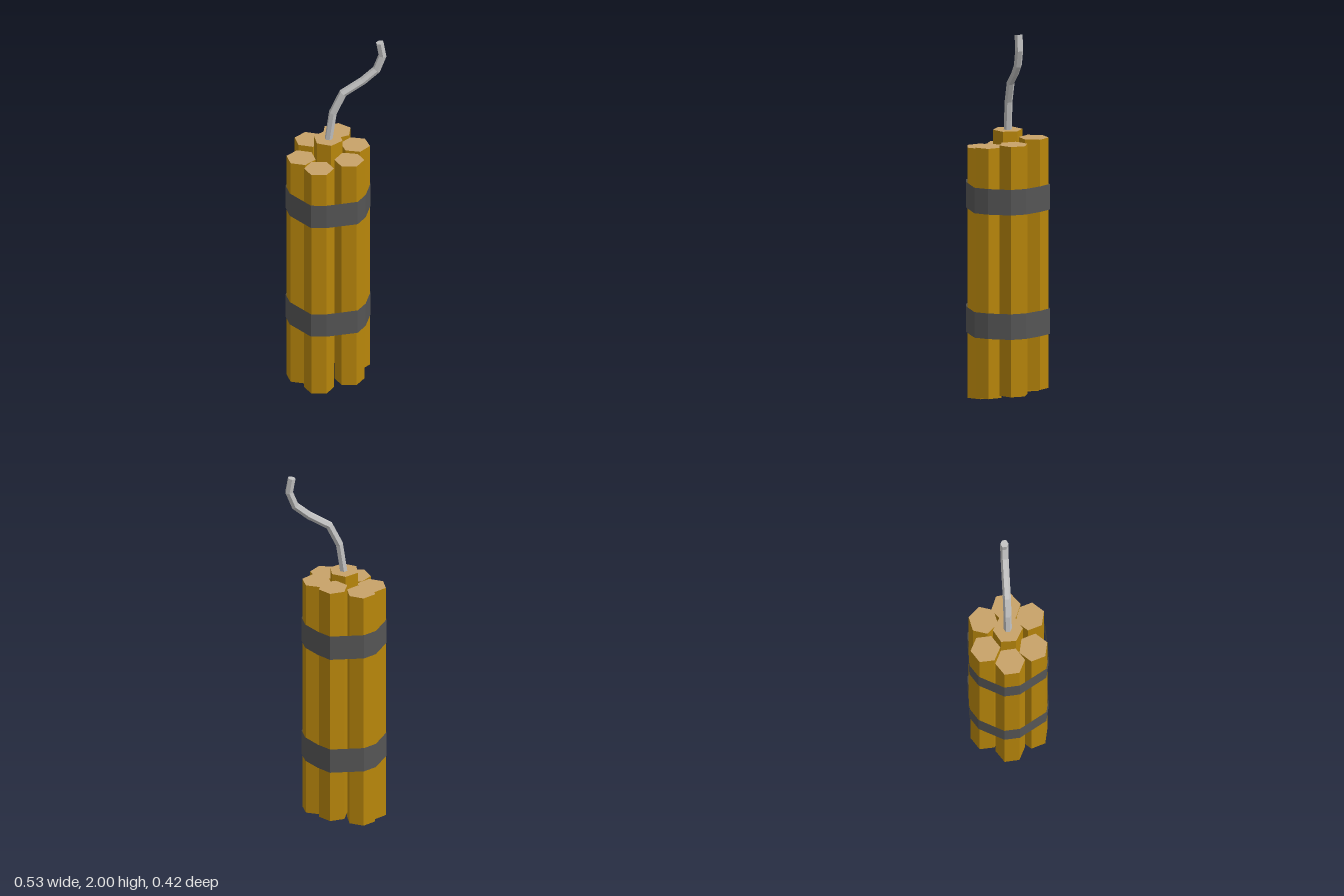
import * as THREE from 'three';

const mat = (name, color, side = THREE.FrontSide) => {
  const m = new THREE.MeshStandardMaterial({ color, flatShading: true, side });
  m.name = name;
  return m;
};

// Six-sided tube through points in the XY plane, with mitred joints
function hexTube(points, radius) {
  const last = points.length - 1;
  const geo = new THREE.CylinderGeometry(1, 1, last, 6, last);
  const pos = geo.attributes.position;
  for (let i = 0; i < pos.count; i++) {
    const k = Math.round(pos.getY(i) + last / 2);
    const p = points[k];
    const dirIn = k > 0 ? p.clone().sub(points[k - 1]).normalize() : null;
    const dirOut = k < last ? points[k + 1].clone().sub(p).normalize() : null;
    const t = new THREE.Vector2();
    if (dirIn) t.add(dirIn);
    if (dirOut) t.add(dirOut);
    t.normalize();
    const across = pos.getX(i) * radius / t.dot(dirIn || dirOut);
    pos.setXYZ(i, p.x + t.y * across, p.y - t.x * across, pos.getZ(i) * radius - 0.003);
  }
  geo.computeVertexNormals();
  return geo;
}

// Open strip that follows a closed outline of [x, z] points
function strap(outline, height) {
  const n = outline.length;
  const geo = new THREE.CylinderGeometry(1, 1, height, n, 1, true);
  const pos = geo.attributes.position;
  for (let i = 0; i < pos.count; i++) {
    const [x, z] = outline[(i % (n + 1)) % n];
    pos.setX(i, x);
    pos.setZ(i, z);
  }
  geo.computeVertexNormals();
  return geo;
}

export function createModel() {
  const group = new THREE.Group();
  const wrapper = mat('golden wrapper', 0xb8860b);
  const ends = mat('tan ends', 0xc8a269);
  const tape = mat('dark grey tape', 0x555555, THREE.DoubleSide);
  const cord = mat('light grey cord', 0xc0c0c0);

  const add = (name, geo, material) => {
    const mesh = new THREE.Mesh(geo, material);
    mesh.name = name;
    group.add(mesh);
    return mesh;
  };

  // Hexagonal sticks: name, x, z, turn, bottom height
  const length = 1.34;
  const stickGeo = new THREE.CylinderGeometry(0.079, 0.079, length, 6);
  const sticks = [
    ['centreStick', -0.043, -0.003, 0, 0.1],
    ['backRightStick', -0.121, -0.126, 0.064, 0.03],
    ['backLeftStick', 0.028, -0.128, 0.75, 0.065],
    ['rightStick', -0.189, 0, 0.077, 0],
    ['leftStick', 0.102, -0.003, 0.145, 0.045],
    ['frontRightStick', -0.118, 0.127, 0.326, 0],
    ['frontLeftStick', 0.046, 0.12, 0.314, 0.03],
  ];
  for (const [name, x, z, turn, bottom] of sticks) {
    const stick = add(name, stickGeo, [wrapper, ends, ends]);
    stick.position.set(x, bottom + length / 2, z);
    stick.rotation.y = turn;
  }

  // Two straps pulled tight around the bundle
  const outline = [
    [-0.095, 0.209], [0.075, 0.201], [0.13, 0.139], [0.179, 0.026],
    [0.168, -0.056], [0.109, -0.148], [0.052, -0.21], [-0.128, -0.211],
    [-0.195, -0.167], [-0.265, -0.036], [-0.259, 0.047], [-0.174, 0.192],
  ];
  const strapGeo = strap(outline, 0.137);
  add('lowerStrap', strapGeo, tape).position.y = 0.422;
  add('upperStrap', strapGeo, tape).position.y = 1.088;

  // Bent cord rising from the centre stick
  const path = [
    [-0.043, 1.42], [-0.018, 1.595], [0.036, 1.708], [0.143, 1.772],
    [0.216, 1.832], [0.248, 1.914], [0.234, 1.996],
  ].map(([x, y]) => new THREE.Vector2(x, y));
  add('cord', hexTube(path, 0.0215), cord);

  return group;
}
